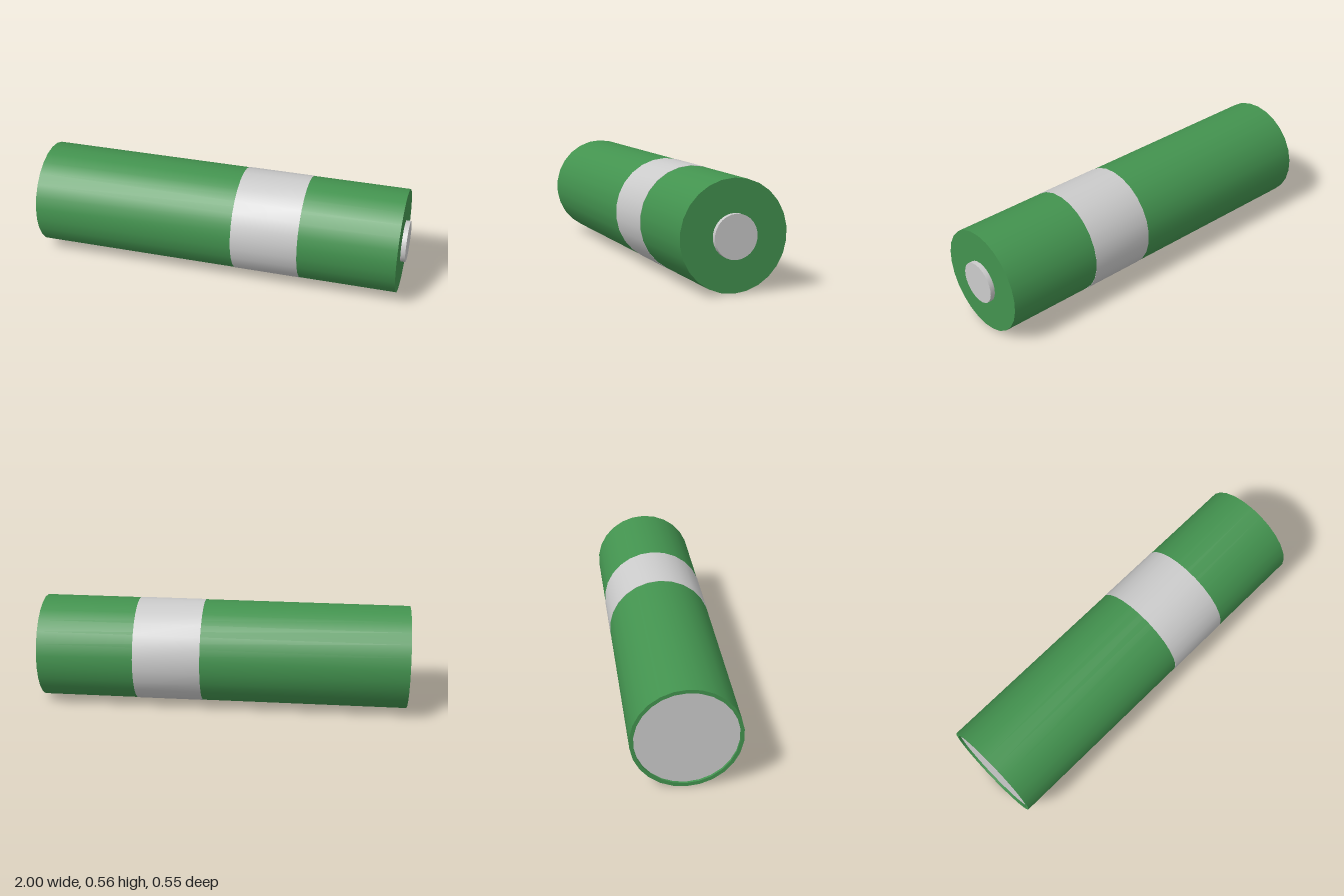
import * as THREE from 'three';
import { toCreasedNormals } from 'three/addons/utils/BufferGeometryUtils.js';

const SIDES = 26;
const AXIS_HEIGHT = 0.278;
const GREEN = 0x43934f;
const GREY = 0xcccccc;

// Revolves a [radius, x] profile about the horizontal axis of the cell.
function turned(name, profile, color) {
  const points = profile.map(([r, x]) => new THREE.Vector2(r, x));
  const lathe = new THREE.LatheGeometry(points, SIDES);
  const geometry = toCreasedNormals(lathe, 0.6);
  geometry.rotateZ(-Math.PI / 2); // lay the axis along x
  geometry.rotateX(Math.PI / 2); // corner at the very top
  const mesh = new THREE.Mesh(geometry, new THREE.MeshStandardMaterial({ color }));
  mesh.name = name;
  return mesh;
}

export function createModel() {
  const group = new THREE.Group();
  group.name = 'battery';

  group.add(
    // Sleeve with a thin rim around the recessed flat end
    turned('sleeve', [[0.257, -0.988], [0.257, -1], [0.276, -1], [0.276, 0.975], [0, 0.975]], GREEN),
    // Flat metal contact inside the rim
    turned('negativeContact', [[0, -0.988], [0.257, -0.988]], GREY),
    // Raised metal button
    turned('positiveContact', [[0.11, 0.975], [0.11, 1], [0, 1]], GREY),
    // Pale band wrapped around the sleeve
    turned('band', [[0.276, 0.1], [0.2775, 0.1], [0.2775, 0.458], [0.276, 0.458]], GREY)
  );

  for (const part of group.children) part.position.y = AXIS_HEIGHT;
  return group;
}
